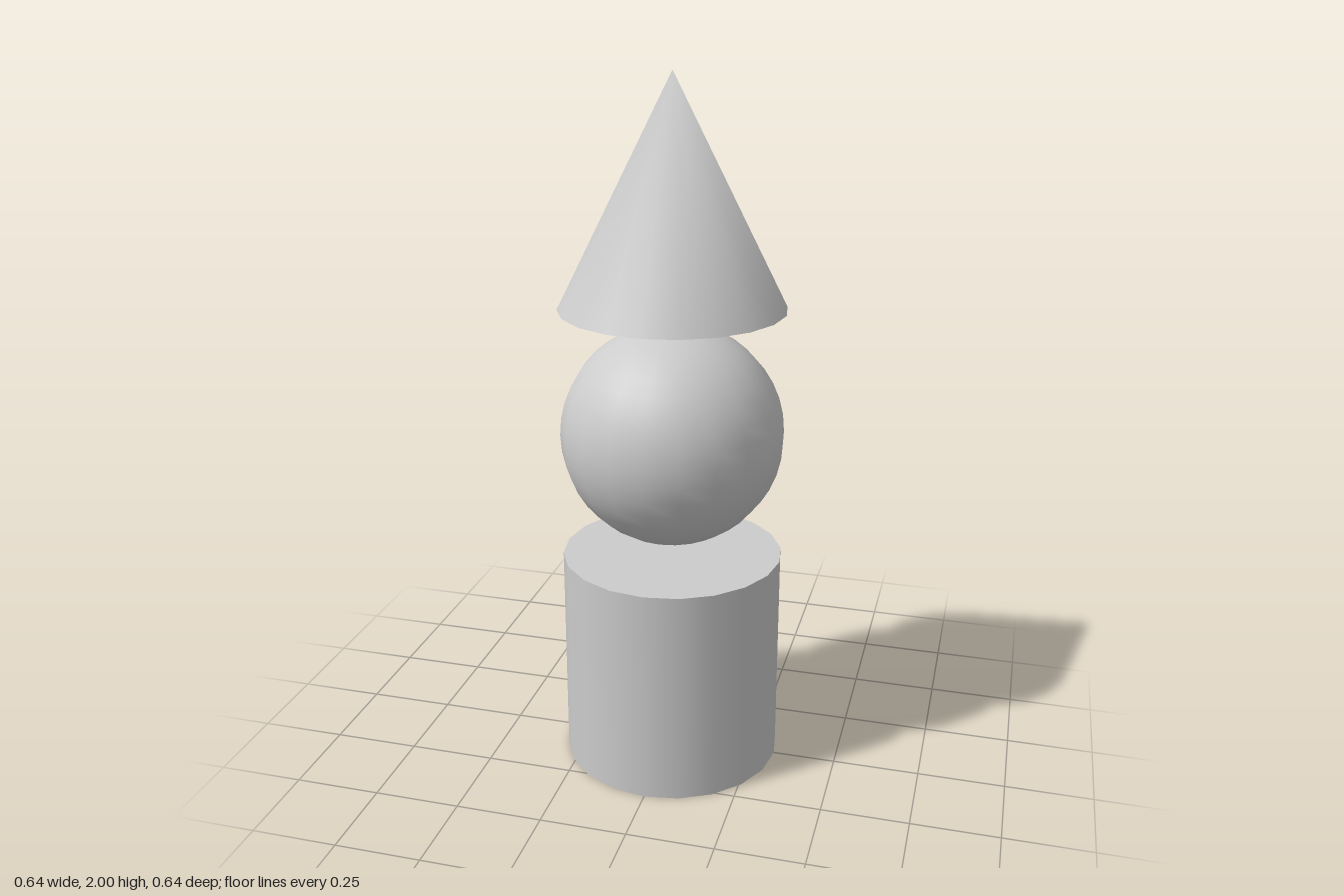
import * as THREE from 'three';

const SIDES = 20;
const SIZE = 0.636; // width and height of every solid
const RADIUS = SIZE / 2;

export function createModel() {
  const group = new THREE.Group();
  group.name = 'stackedSolids';
  const material = new THREE.MeshStandardMaterial({ color: 0xcccccc });

  const add = (name, geometry, centreY) => {
    const mesh = new THREE.Mesh(geometry, material);
    mesh.name = name;
    mesh.position.y = centreY;
    group.add(mesh);
  };

  // Cylinder at the bottom, ball floating in the middle
  add('cylinder', new THREE.CylinderGeometry(RADIUS, RADIUS, SIZE, SIDES), RADIUS);
  add('sphere', new THREE.SphereGeometry(RADIUS, SIDES, SIDES), 1);

  // Cone on top, with one smooth upward normal at its tip
  const cone = new THREE.ConeGeometry(RADIUS, SIZE, SIDES);
  const { position, normal } = cone.attributes;
  for (let i = 0; i < position.count; i++) {
    if (position.getY(i) > 0) normal.setXYZ(i, 0, 1, 0);
  }
  add('cone', cone, 2 - RADIUS);

  return group;
}
